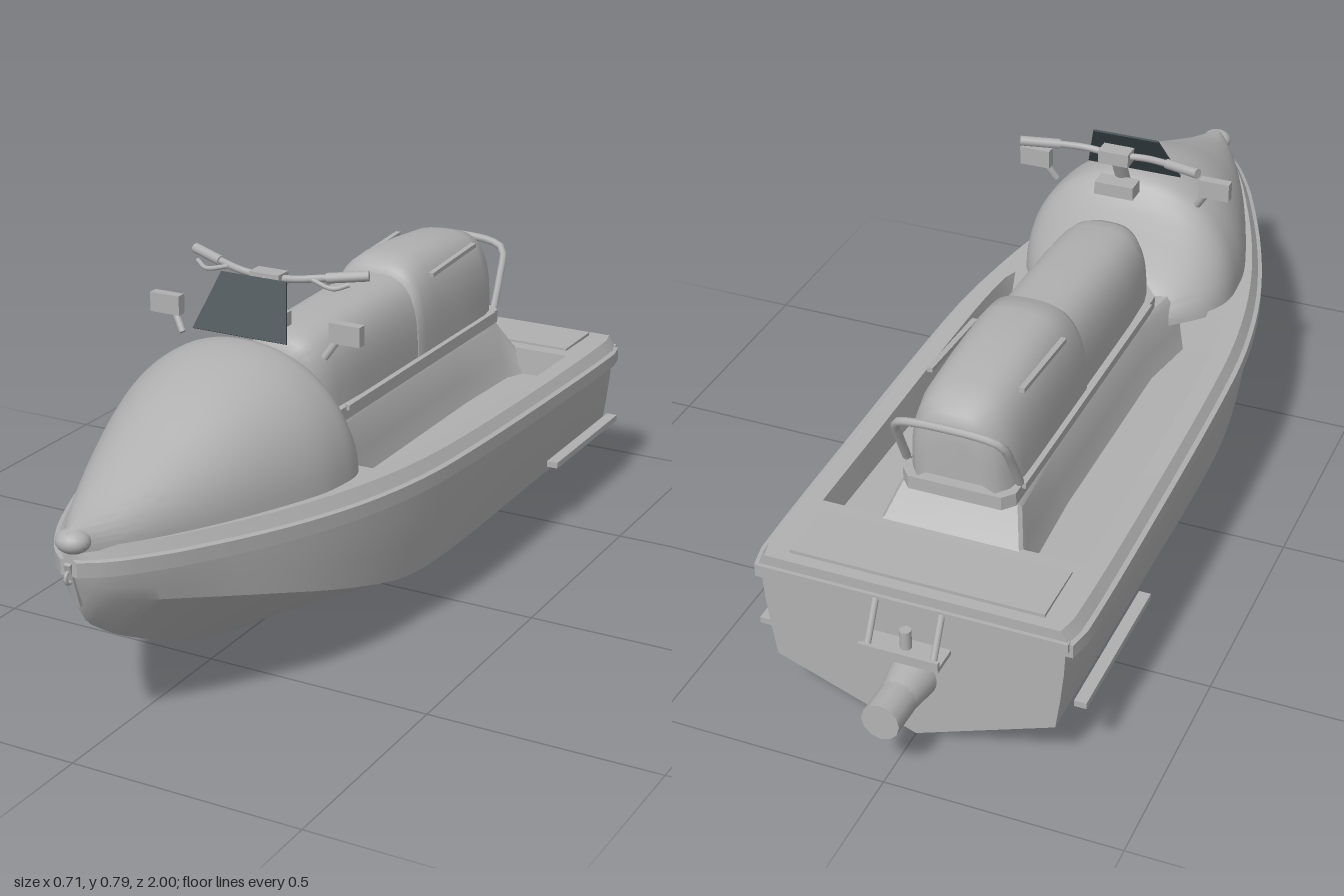
import * as THREE from 'three';
import { toCreasedNormals } from 'three/addons/utils/BufferGeometryUtils.js';

const V = (x, y, z) => new THREE.Vector3(x, y, z);

// Hull stations: z, keel y, chine x, chine y, rail half width, rail y, deck y
const STATIONS = [
  [-0.85, 0, 0.3, 0.115, 0.337, 0.322, 0.358],
  [-0.8, 0, 0.3, 0.115, 0.348, 0.323, 0.359],
  [-0.4, 0, 0.3, 0.115, 0.35, 0.333, 0.366],
  [0, 0, 0.3, 0.115, 0.346, 0.346, 0.38],
  [0.2, 0.004, 0.294, 0.13, 0.335, 0.354, 0.39],
  [0.4, 0.025, 0.268, 0.18, 0.3, 0.363, 0.4],
  [0.6, 0.085, 0.213, 0.238, 0.237, 0.374, 0.41],
  [0.8, 0.18, 0.118, 0.288, 0.15, 0.388, 0.422],
  [0.9, 0.242, 0.06, 0.312, 0.093, 0.396, 0.43],
  [0.95, 0.29, 0.028, 0.335, 0.055, 0.4, 0.435],
  [0.985, 0.385, 0.004, 0.393, 0.018, 0.404, 0.438],
];

// Smooth interpolation of a table by its first column
function sample(rows, z) {
  let i = 0;
  while (i < rows.length - 2 && z > rows[i + 1][0]) i++;
  const a = rows[i], b = rows[i + 1], h = b[0] - a[0], t = (z - a[0]) / h;
  const p = rows[Math.max(i - 1, 0)], q = rows[Math.min(i + 2, rows.length - 1)];
  return a.map((_, k) => {
    const m0 = (b[k] - p[k]) / (b[0] - p[0]) * h, m1 = (q[k] - a[k]) / (q[0] - a[0]) * h;
    const t2 = t * t, t3 = t2 * t;
    return (2 * t3 - 3 * t2 + 1) * a[k] + (t3 - 2 * t2 + t) * m0
      + (3 * t2 - 2 * t3) * b[k] + (t3 - t2) * m1;
  });
}

const range = (a, b, n) => Array.from({ length: n + 1 }, (_, i) => a + (b - a) * i / n);

// Skin over counterclockwise cross-sections in order of rising z, with end caps
function loft(sections, crease = 0.6, closed = false) {
  const n = sections[0].length, pos = sections.flat(2), idx = [];
  const last = sections.length - 1;
  for (let i = 0; i < last; i++)
    for (let j = 0; j < (closed ? n : n - 1); j++) {
      const k = (j + 1) % n, a = i * n + j, b = i * n + k, c = a + n, d = b + n;
      idx.push(a, b, d, a, d, c);
    }
  for (const [s, front] of [[0, false], [last, true]]) {
    const c = pos.length / 3, o = s * n;
    for (let k = 0; k < 3; k++) pos.push(sections[s].reduce((t, p) => t + p[k], 0) / n);
    for (let j = 0; j < n; j++) {
      const a = o + j, b = o + (j + 1) % n;
      idx.push(...(front ? [c, a, b] : [c, b, a]));
    }
  }
  const g = new THREE.BufferGeometry();
  g.setAttribute('position', new THREE.Float32BufferAttribute(pos, 3));
  g.setIndex(idx);
  return toCreasedNormals(g, crease);
}

const mirrorPts = (pts) => pts.map(([x, y, z]) => [-x, y, z]).reverse();
// Half sections: keel to top for the hull, edge to centre for upper surfaces
const under = (pts) => [...mirrorPts(pts.slice(1)), ...pts];
const over = (pts) => [...pts, ...mirrorPts(pts.slice(0, -1))];

// Rounded arch section
function arch([z, hw, yb, yt], n, segs = 24) {
  return range(0, Math.PI, segs).map((a) => {
    const c = Math.cos(a), s = Math.max(0, Math.sin(a));
    return [hw * Math.sign(c) * Math.abs(c) ** (2 / n), yb + (yt - yb) * s ** (2 / n), z];
  });
}

export function createModel() {
  const group = new THREE.Group();
  const grey = new THREE.MeshStandardMaterial({ color: 0xb0b0b0 });
  grey.name = 'body grey';
  const dark = new THREE.MeshStandardMaterial({ color: 0x3c464b, side: THREE.DoubleSide });
  dark.name = 'dark glass';

  const add = (name, geo, mat = grey) => {
    const m = new THREE.Mesh(geo, mat);
    m.name = name;
    group.add(m);
    return m;
  };
  const box = (name, size, p) => {
    const m = add(name, new THREE.BoxGeometry(...size));
    m.position.set(...p);
    return m;
  };
  const rod = (name, pts, r) => add(name, pts.length === 2
    ? capped(pts, r)
    : new THREE.TubeGeometry(new THREE.CatmullRomCurve3(pts, false, 'centripetal'), 24, r, 8));
  const capped = ([a, b], r) => {
    const d = b.clone().sub(a), g = new THREE.CylinderGeometry(r, r, d.length(), 12);
    g.applyQuaternion(new THREE.Quaternion().setFromUnitVectors(V(0, 1, 0), d.normalize()));
    return g.translate((a.x + b.x) / 2, (a.y + b.y) / 2, (a.z + b.z) / 2);
  };

  // Hull with V bottom, chine and flared sides
  const zs = [...range(-0.85, 0.8, 33), ...range(0.82, 0.985, 11)];
  add('hull', loft(zs.map((z) => {
    const [, ky, cx, cy, w, ry] = sample(STATIONS, z), tx = Math.max(w - 0.014, 0.004);
    return under([[0, ky, z], [cx, cy, z], [cx + (tx - cx) * 0.45, cy + (ry - cy) * 0.33, z],
      [cx + (tx - cx) * 0.8, cy + (ry - cy) * 0.66, z], [tx, ry, z]]);
  }), 0.45));

  // Bumper rail on each side
  for (const s of [1, -1]) {
    add('bumperRail', loft(zs.map((z) => {
      const [, , , , w, ry] = sample(STATIONS, z), i = Math.max(w - 0.03, 0);
      const p = [[i, ry - 0.022, z], [w, ry - 0.022, z], [w, ry + 0.008, z], [i, ry + 0.018, z]];
      return s > 0 ? p : mirrorPts(p);
    }), 0.5, true));
  }
  box('sternRail', [0.66, 0.02, 0.012], [0, 0.325, -0.852]);

  // Deck with sunken footwells
  const deckZ = [...range(-0.85, -0.65, 5), -0.645, ...range(-0.6, 0.24, 18), 0.27, ...zs.filter((z) => z > 0.28)];
  add('deck', loft(deckZ.map((z) => {
    const [, , , , w, ry, dy] = sample(STATIONS, z);
    const floor = z > -0.648 && z < 0.26 ? 0.3 : dy;
    const edge = Math.max(w - 0.025, 0.003), g = Math.max(w - 0.065, 0.002);
    return over([[Math.max(w - 0.006, 0.004), ry + 0.005, z], [edge, dy, z], [g, dy, z],
      [g * 0.97, floor, z], [0, floor, z]]);
  }), 0.45));
  box('sternPad', [0.54, 0.012, 0.14], [0, 0.36, -0.755]);

  // Seat pedestal, sloping down at the stern
  add('seatPedestal', loft([[-0.68, 0.345, 0.18], [-0.655, 0.365, 0.16], [-0.6, 0.435, 0.135],
    [-0.4, 0.435, 0.125], [0.1, 0.435, 0.125], [0.3, 0.435, 0.16]].map(([z, y, w]) =>
    over([[w + 0.025, 0.29, z], [w + 0.005, 0.29 + (y - 0.29) * 0.4, z], [w - 0.005, y - 0.012, z],
      [w - 0.015, y, z], [0, y, z]])), 0.7));

  // Front hood
  const hood = [[0.19, 0.12, 0.37, 0.425], [0.225, 0.165, 0.375, 0.45], [0.26, 0.21, 0.38, 0.51],
    [0.3, 0.238, 0.385, 0.592], [0.33, 0.247, 0.39, 0.64], [0.36, 0.25, 0.393, 0.658],
    [0.45, 0.243, 0.398, 0.655], [0.57, 0.208, 0.403, 0.624], [0.73, 0.148, 0.412, 0.556],
    [0.89, 0.073, 0.422, 0.492], [0.985, 0.014, 0.43, 0.468]];
  add('hood', loft(range(0.19, 0.985, 44).map((z) => arch(sample(hood, z), 2.2, 32)), 0.8));

  // Bow cap and tow eye
  const nose = add('bowCap', new THREE.SphereGeometry(1, 20, 12));
  nose.scale.set(0.035, 0.024, 0.032);
  nose.position.set(0, 0.447, 0.968);
  box('bowStrap', [0.014, 0.1, 0.012], [0, 0.36, 0.972]).rotation.x = 0.3;
  const eye = add('towEye', new THREE.TorusGeometry(0.012, 0.004, 8, 16));
  eye.rotation.y = Math.PI / 2;
  eye.position.set(0, 0.38, 0.985);

  // Seat cushions and their tray
  add('seatTray', loft([[-0.635, 0.1], [-0.61, 0.122], [0.18, 0.122], [0.22, 0.09]].map(([z, w]) =>
    over([[w, 0.432, z], [w, 0.462, z], [0, 0.462, z]]))));
  const cushion = (name, rows) => add(name, loft(rows.map((r) => arch(r, 3, 28)), 0.9));
  cushion('frontSeat', [[-0.25, 0.112, 0.455, 0.642], [-0.1, 0.112, 0.455, 0.641], [0.05, 0.112, 0.455, 0.636],
    [0.15, 0.108, 0.455, 0.629], [0.185, 0.1, 0.455, 0.623], [0.21, 0.084, 0.458, 0.612],
    [0.224, 0.06, 0.47, 0.59]]);
  cushion('rearSeat', [[-0.634, 0.06, 0.48, 0.6], [-0.625, 0.085, 0.46, 0.628], [-0.6, 0.105, 0.455, 0.647],
    [-0.55, 0.115, 0.455, 0.66], [-0.42, 0.118, 0.455, 0.672], [-0.3, 0.118, 0.455, 0.677],
    [-0.24, 0.118, 0.455, 0.67], [-0.222, 0.117, 0.455, 0.655], [-0.212, 0.114, 0.455, 0.635]]);

  // Grab handle behind the seat
  rod('grabHandle', [V(0.122, 0.475, -0.59), V(0.12, 0.54, -0.622), V(0.112, 0.597, -0.652),
    V(0.08, 0.612, -0.66), V(-0.08, 0.612, -0.66), V(-0.112, 0.597, -0.652),
    V(-0.12, 0.54, -0.622), V(-0.122, 0.475, -0.59)], 0.009);

  // Windshield
  const pane = new THREE.Shape([[-0.11, 0], [0.11, 0], [0.076, 0.125], [-0.076, 0.125]]
    .map(([x, y]) => new THREE.Vector2(x, y)));
  const glass = add('windshield', new THREE.ExtrudeGeometry(pane, { depth: 0.005, bevelEnabled: false }), dark);
  glass.rotation.x = -0.5;
  glass.position.set(0, 0.665, 0.367);

  // Steering column and console
  rod('steeringColumn', [V(0, 0.65, 0.31), V(0, 0.765, 0.252)], 0.016);
  box('barClamp', [0.07, 0.03, 0.04], [0, 0.757, 0.25]);
  box('console', [0.09, 0.03, 0.045], [0, 0.675, 0.258]);

  // Nozzle and boarding step
  const nozzle = add('jetNozzle', new THREE.CylinderGeometry(0.036, 0.052, 0.1, 24));
  nozzle.rotation.x = -Math.PI / 2;
  nozzle.position.set(0, 0.15, -0.89);
  rod('nozzleTip', [V(0, 0.15, -0.92), V(0, 0.153, -1)], 0.04);
  box('stepPlate', [0.17, 0.01, 0.06], [0, 0.238, -0.882]);
  box('stepLip', [0.17, 0.022, 0.008], [0, 0.245, -0.91]);
  rod('stepPin', [V(0, 0.24, -0.875), V(0, 0.285, -0.875)], 0.012);

  // Paired parts
  for (const s of [1, -1]) {
    rod('handlebar', [V(0, 0.757, 0.25), V(s * 0.07, 0.764, 0.248), V(s * 0.14, 0.772, 0.226)], 0.008);
    rod('grip', [V(s * 0.125, 0.77, 0.232), V(s * 0.206, 0.778, 0.2)], 0.011);
    rod('brakeLever', [V(s * 0.1, 0.766, 0.245), V(s * 0.15, 0.756, 0.25), V(s * 0.18, 0.765, 0.235)], 0.005);
    box('mirror', [0.07, 0.042, 0.022], [s * 0.212, 0.687, 0.306]);
    rod('mirrorArm', [V(s * 0.168, 0.633, 0.318), V(s * 0.19, 0.668, 0.308)], 0.008);
    box('sideFin', [0.026, 0.014, 0.36], [s * 0.34, 0.161, -0.64]);
    box('seatRail', [0.012, 0.01, 0.22], [s * 0.098, 0.635, -0.41]).rotation.x = 0.06;
    box('trayStrip', [0.012, 0.012, 0.72], [s * 0.124, 0.46, -0.22]);
    rod('stepStrut', [V(s * 0.07, 0.33, -0.855), V(s * 0.07, 0.24, -0.905)], 0.007);
  }
  return group;
}
